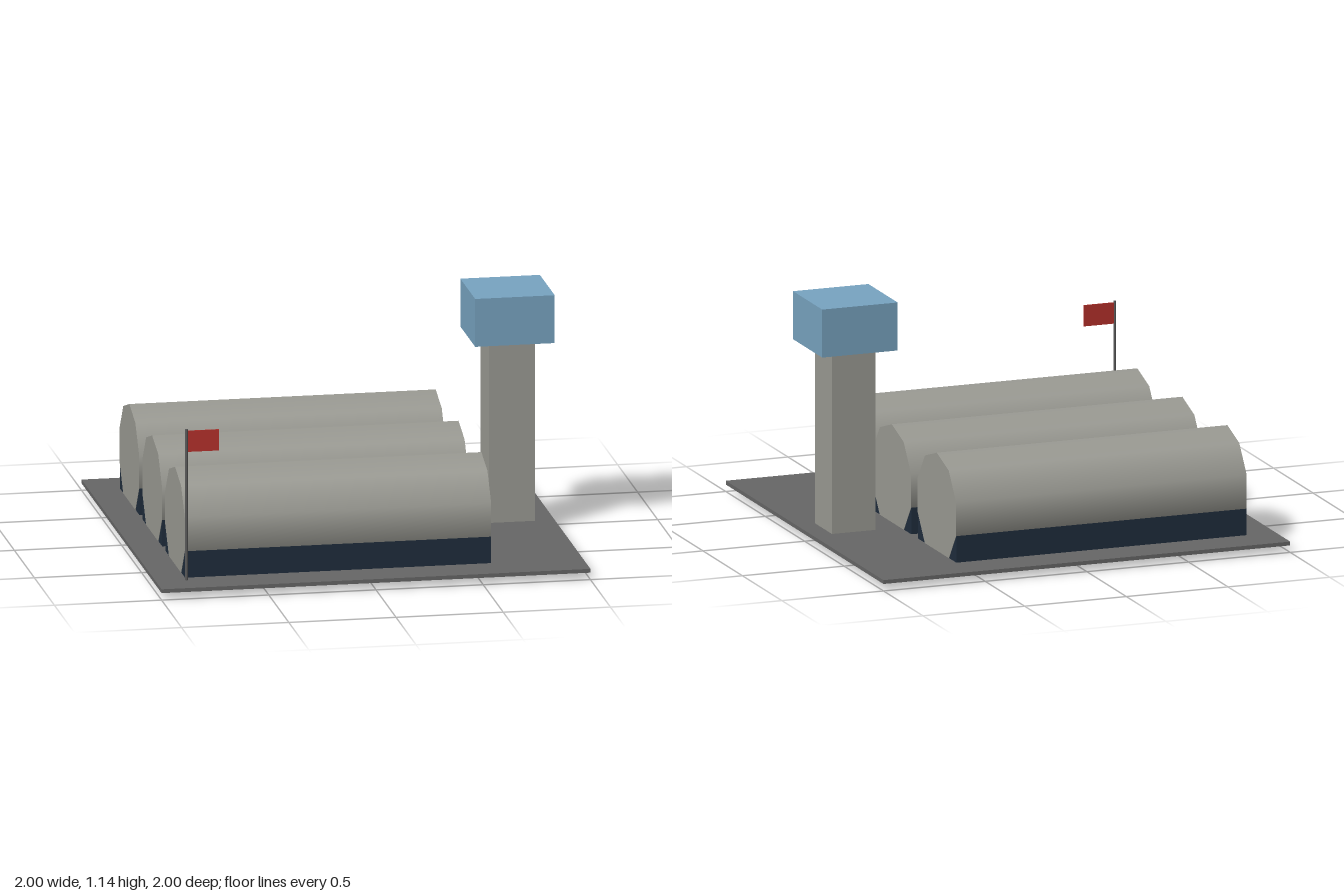
import * as THREE from 'three';

const mat = (name, color) => {
  const m = new THREE.MeshStandardMaterial({ color });
  m.name = name;
  return m;
};

export function createModel() {
  const concrete = mat('light concrete', 0x9b9b94);
  const asphalt = mat('asphalt', 0x676767);
  const navy = mat('dark navy', 0x1f2d3d);
  const glass = mat('blue glass', 0x78a4c1);
  const steel = mat('steel', 0x5c5c5c);
  const red = mat('flag red', 0xb8322c);

  const root = new THREE.Group();
  root.name = 'airfield';

  const add = (parent, name, geometry, material, x, y, z) => {
    const mesh = new THREE.Mesh(geometry, material);
    mesh.name = name;
    mesh.position.set(x, y, z);
    parent.add(mesh);
    return mesh;
  };
  const box = (parent, name, material, w, h, d, x, y, z) =>
    add(parent, name, new THREE.BoxGeometry(w, h, d), material, x, y, z);

  // Ground slab
  box(root, 'ground', asphalt, 2, 0.018, 2, 0, 0.042, 0);

  // Three ten-sided barrel hangars, a corner at the ridge, sunk into the slab
  const radius = 0.257, length = 1.429;
  const barrel = new THREE.CylinderGeometry(radius, radius, length, 10, 1, false, Math.PI / 2);
  barrel.rotateZ(Math.PI / 2);
  for (const z of [-0.571, 0, 0.571]) {
    const hangar = new THREE.Group();
    hangar.name = 'hangar';
    hangar.position.set(-0.143, 0, z);
    add(hangar, 'barrelRoof', barrel, concrete, 0, radius, 0);
    // Skirt wall, just inside the end faces
    box(hangar, 'skirtWall', navy, length - 0.003, 0.134, 0.487, 0, 0.11, 0);
    root.add(hangar);
  }

  // Control tower
  const tower = new THREE.Group();
  tower.name = 'controlTower';
  tower.position.x = 0.8;
  box(tower, 'towerShaft', concrete, 0.214, 0.868, 0.214, 0, 0.477, 0);
  box(tower, 'towerCab', glass, 0.371, 0.227, 0.371, 0, 1.024, 0);
  root.add(tower);

  // Flagpole and flag
  const flagpole = new THREE.Group();
  flagpole.name = 'flagpole';
  flagpole.position.set(-0.857, 0, 0.857);
  add(flagpole, 'pole', new THREE.CylinderGeometry(0.0065, 0.0065, 0.72, 8), steel, 0, 0.406, 0);
  box(flagpole, 'flag', red, 0.148, 0.1, 0.005, 0.078, 0.709, 0);
  root.add(flagpole);

  return root;
}
